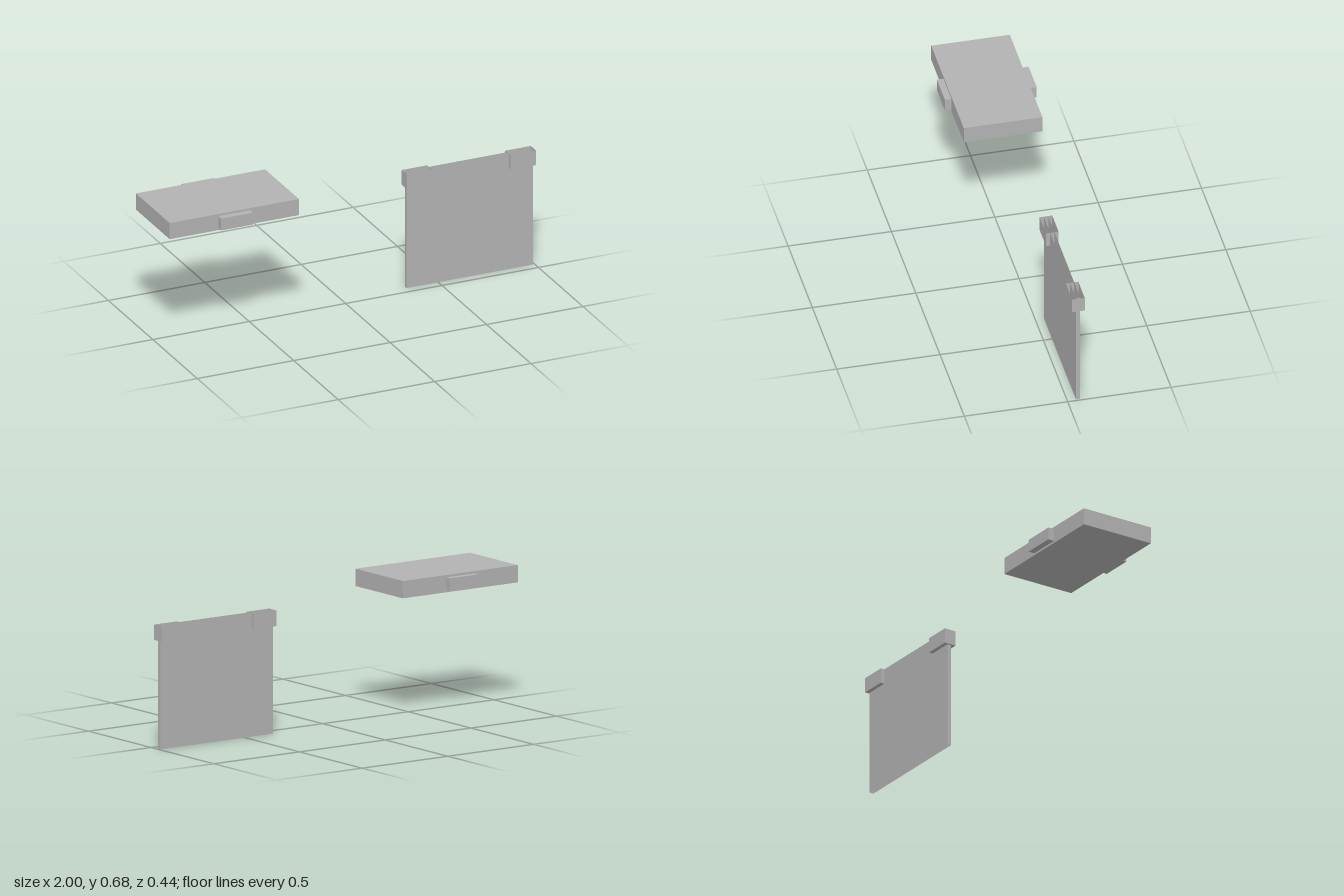
import * as THREE from 'three';

const grey = new THREE.MeshStandardMaterial({ color: 0xb2b2b2, side: THREE.DoubleSide });
grey.name = 'plain grey';

// Sides in the order BoxGeometry stores them, six indices each
const SIDES = ['+x', '-x', '+y', '-y', '+z', '-z'];

// Box between two corners, with the named sides left open
function box(name, [x0, y0, z0], [x1, y1, z1], open = []) {
  const geometry = new THREE.BoxGeometry(x1 - x0, y1 - y0, z1 - z0);
  const index = Array.from(geometry.index.array);
  geometry.setIndex(index.filter((_, i) => !open.includes(SIDES[Math.floor(i / 6)])));
  geometry.clearGroups();
  geometry.translate((x0 + x1) / 2, (y0 + y1) / 2, (z0 + z1) / 2);
  const mesh = new THREE.Mesh(geometry, grey);
  mesh.name = name;
  return mesh;
}

export function createModel() {
  const model = new THREE.Group();
  model.name = 'slabAndHangingPanel';

  // Flat slab with a tab on its front and back edges
  const slab = new THREE.Group();
  slab.name = 'slab';
  slab.add(box('slabBody', [-1, 0.593, -0.19], [-0.33, 0.676, 0.19]));
  slab.add(box('frontTab', [-0.748, 0.604, 0.19], [-0.582, 0.665, 0.222], ['-z']));
  slab.add(box('backTab', [-0.748, 0.604, -0.222], [-0.582, 0.665, -0.19], ['+z']));
  model.add(slab);

  // Thin upright panel, open along its top and bottom edges
  const hanging = new THREE.Group();
  hanging.name = 'hangingPanel';
  hanging.add(box('panel', [0.336, 0, -0.063], [0.99, 0.593, -0.042], ['+y', '-y']));

  // Open-topped brackets around the panel's upper corners
  for (const [name, x] of [['rightBracket', 0.328], ['leftBracket', 0.866]]) {
    hanging.add(box(name, [x, 0.519, -0.083], [x + 0.132, 0.593, -0.022], ['+y']));
  }
  model.add(hanging);

  return model;
}
